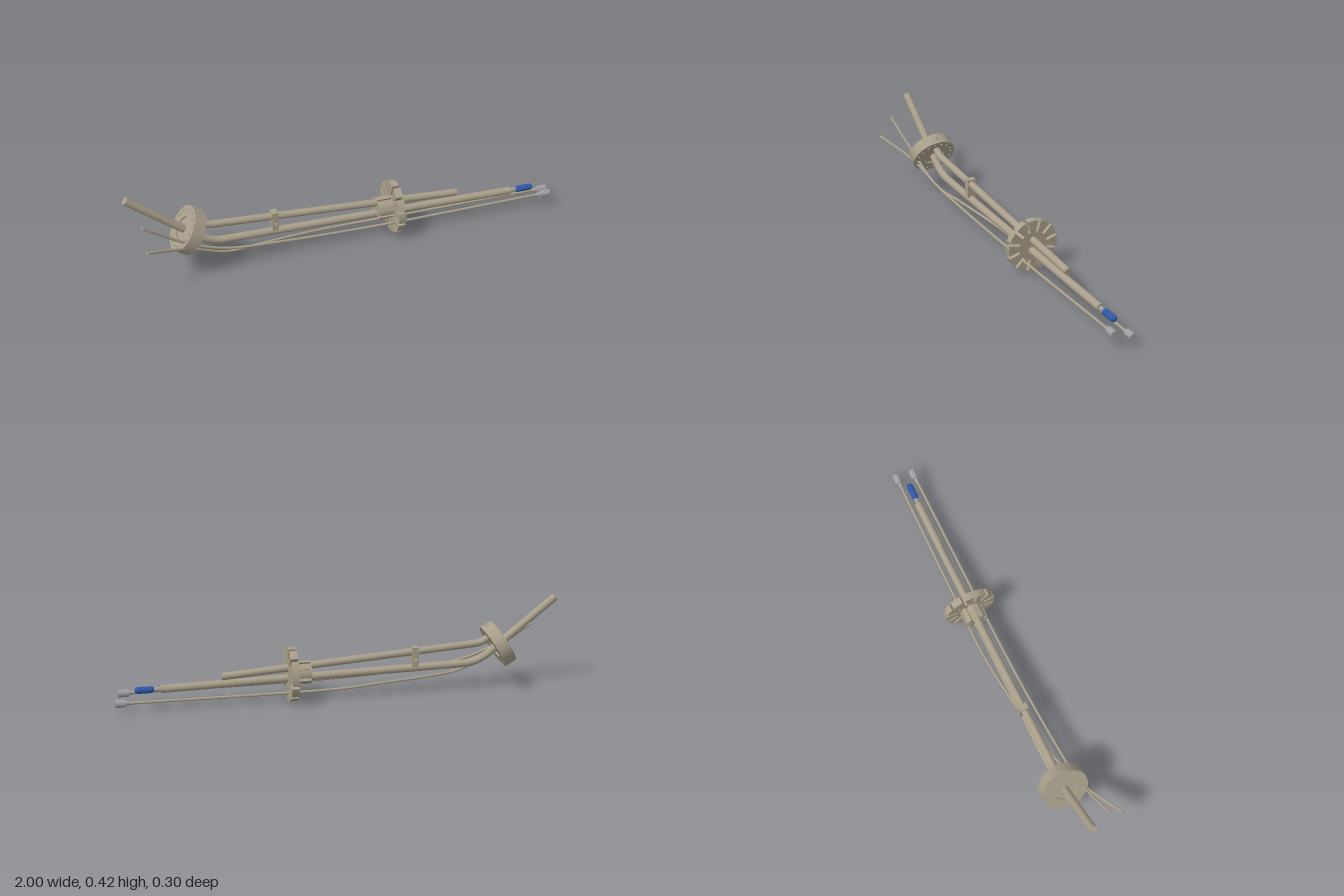
import * as THREE from 'three';

const mat = (name, color) => Object.assign(new THREE.MeshStandardMaterial({ color }), { name });
const V = (p) => new THREE.Vector3(...p);

export function createModel() {
  const model = new THREE.Group();
  const tan = mat('warm metal', 0xa89e8a);
  const grey = mat('grey metal', 0x9e9ea2);
  const blue = mat('blue sleeve', 0x2f57a8);

  const add = (name, geometry, material, parent = model) => {
    const mesh = new THREE.Mesh(geometry, material);
    mesh.name = name;
    parent.add(mesh);
    return mesh;
  };

  // Cylinder lying along x, from x0 to x1
  const rod = (name, x0, x1, y, z, r0, r1, material, parent = model) => {
    const g = new THREE.CylinderGeometry(r1, r0, x1 - x0, 24).rotateZ(-Math.PI / 2);
    const mesh = add(name, g, material, parent);
    mesh.position.set((x0 + x1) / 2, y, z);
    return mesh;
  };

  // Shape in the yz plane, extruded along x and centred on its thickness
  const plate = (name, shape, thickness, parent) => {
    const g = new THREE.ExtrudeGeometry(shape, { depth: thickness, bevelEnabled: false, curveSegments: 32 });
    g.translate(0, 0, -thickness / 2).rotateY(Math.PI / 2);
    return add(name, g, tan, parent);
  };

  const hole = (shape, x, y, r) => shape.holes.push(new THREE.Path().absarc(x, y, r, 0, Math.PI * 2, true));

  // Disc outline with parallel-sided radial slots
  const slottedDisc = (rOut, rIn, slots, width) => {
    const s = new THREE.Shape();
    const step = (Math.PI * 2) / slots;
    const dOut = Math.asin(width / 2 / rOut), dIn = Math.asin(width / 2 / rIn);
    for (let i = 0; i < slots; i++) {
      const a = (i + 0.5) * step, b = a + step;
      s.absarc(0, 0, rIn, a - dIn, a + dIn, false);
      s.absarc(0, 0, rOut, a + dOut, b - dOut, false);
    }
    s.closePath();
    return s;
  };

  // Capped tube along a curve
  const pipe = (name, curve, r, segments, sides) => {
    const group = new THREE.Group();
    group.name = name;
    model.add(group);
    add(name + 'Wall', new THREE.TubeGeometry(curve, segments, r, sides), tan, group);
    for (const t of [0, 1]) {
      const cap = add(name + 'End', new THREE.CircleGeometry(r, sides), tan, group);
      const dir = curve.getTangent(t).multiplyScalar(t ? 1 : -1);
      cap.position.copy(curve.getPoint(t));
      cap.quaternion.setFromUnitVectors(new THREE.Vector3(0, 0, 1), dir);
    }
  };

  // Two straight runs joined by a rounded elbow
  const elbow = (start, corner, end, bend) => {
    const [s, c, e] = [start, corner, end].map(V);
    const p = c.clone().add(s.clone().sub(c).setLength(bend));
    const q = c.clone().add(e.clone().sub(c).setLength(bend));
    const path = new THREE.CurvePath();
    path.add(new THREE.LineCurve3(s, p));
    path.add(new THREE.QuadraticBezierCurve3(p, c, q));
    path.add(new THREE.LineCurve3(q, e));
    return path;
  };

  // Main tubes
  pipe('lowerTube', elbow([-0.985, 0.405, -0.027], [-0.625, 0.122, -0.027], [0.8, 0.09, -0.016], 0.07), 0.0175, 140, 24);
  pipe('upperTube', elbow([-0.71, 0.262, -0.026], [-0.645, 0.212, -0.026], [0.535, 0.131, -0.025], 0.035), 0.0165, 140, 24);

  // Tilted flange with a bolt ring and a recessed centre
  const flange = new THREE.Group();
  flange.name = 'flange';
  flange.position.set(-0.722, 0.203, -0.026);
  flange.rotation.z = -0.55;
  model.add(flange);
  const ring = new THREE.Shape().absarc(0, 0, 0.105, 0, Math.PI * 2, false);
  hole(ring, 0, 0, 0.052);
  for (let i = 0; i < 16; i++) {
    const a = ((i + 0.5) * Math.PI) / 8;
    hole(ring, Math.cos(a) * 0.086, Math.sin(a) * 0.086, 0.005);
  }
  plate('flangeRing', ring, 0.055, flange);
  rod('flangeCore', -0.02, 0.02, 0, 0, 0.053, 0.053, tan, flange);
  const port = add('rimPort', new THREE.TorusGeometry(0.008, 0.002, 8, 20).rotateX(Math.PI / 2), tan, flange);
  port.position.y = 0.105;

  // Slotted disc with a castellated hub behind it
  const disc = plate('slottedDisc', slottedDisc(0.12, 0.068, 12, 0.013), 0.033, model);
  disc.position.set(0.227, 0.123, -0.026);
  const hub = plate('slottedHub', slottedDisc(0.052, 0.036, 8, 0.013), 0.07, model);
  hub.position.set(0.178, 0.126, -0.026);

  // Clamp on the upper tube
  const block = new THREE.Shape();
  block.moveTo(-0.014, -0.044).lineTo(0.014, -0.044).lineTo(0.014, 0.044).lineTo(-0.014, 0.044);
  hole(block, 0, -0.01, 0.006);
  const clamp = add('clamp', new THREE.ExtrudeGeometry(block, { depth: 0.042, bevelEnabled: false }), tan);
  clamp.position.set(-0.333, 0.169, -0.049);

  // Thin cables with end connectors
  const cables = [
    [[-0.94, 0.325, 0.083], [-0.74, 0.185, 0.05], [-0.58, 0.122, 0.045], [-0.3, 0.09, 0.035],
      [0, 0.075, 0.03], [0.25, 0.07, 0.03], [0.935, 0.068, 0.03]],
    [[-0.94, 0.24, 0.146], [-0.75, 0.165, 0.06], [-0.56, 0.082, 0.015], [-0.4, 0.068, -0.015],
      [-0.2, 0.06, -0.04], [0, 0.05, -0.057], [0.3, 0.046, -0.055], [0.955, 0.045, -0.046]],
  ];
  for (const points of cables) {
    pipe('cable', new THREE.CatmullRomCurve3(points.map(V)), 0.006, 90, 12);
    const [x, y, z] = points[points.length - 1];
    rod('connectorNeck', x - 0.022, x, y, z, 0.007, 0.01, grey);
    rod('connector', x, x + 0.045, y, z, 0.017, 0.017, grey);
  }

  // Sleeved tip of the lower tube
  rod('tipNeck', 0.795, 0.84, 0.09, -0.016, 0.01, 0.008, grey);
  const tip = add('tipSleeve', new THREE.CapsuleGeometry(0.015, 0.056, 8, 24).rotateZ(Math.PI / 2), blue);
  tip.position.set(0.87, 0.09, -0.015);

  return model;
}
